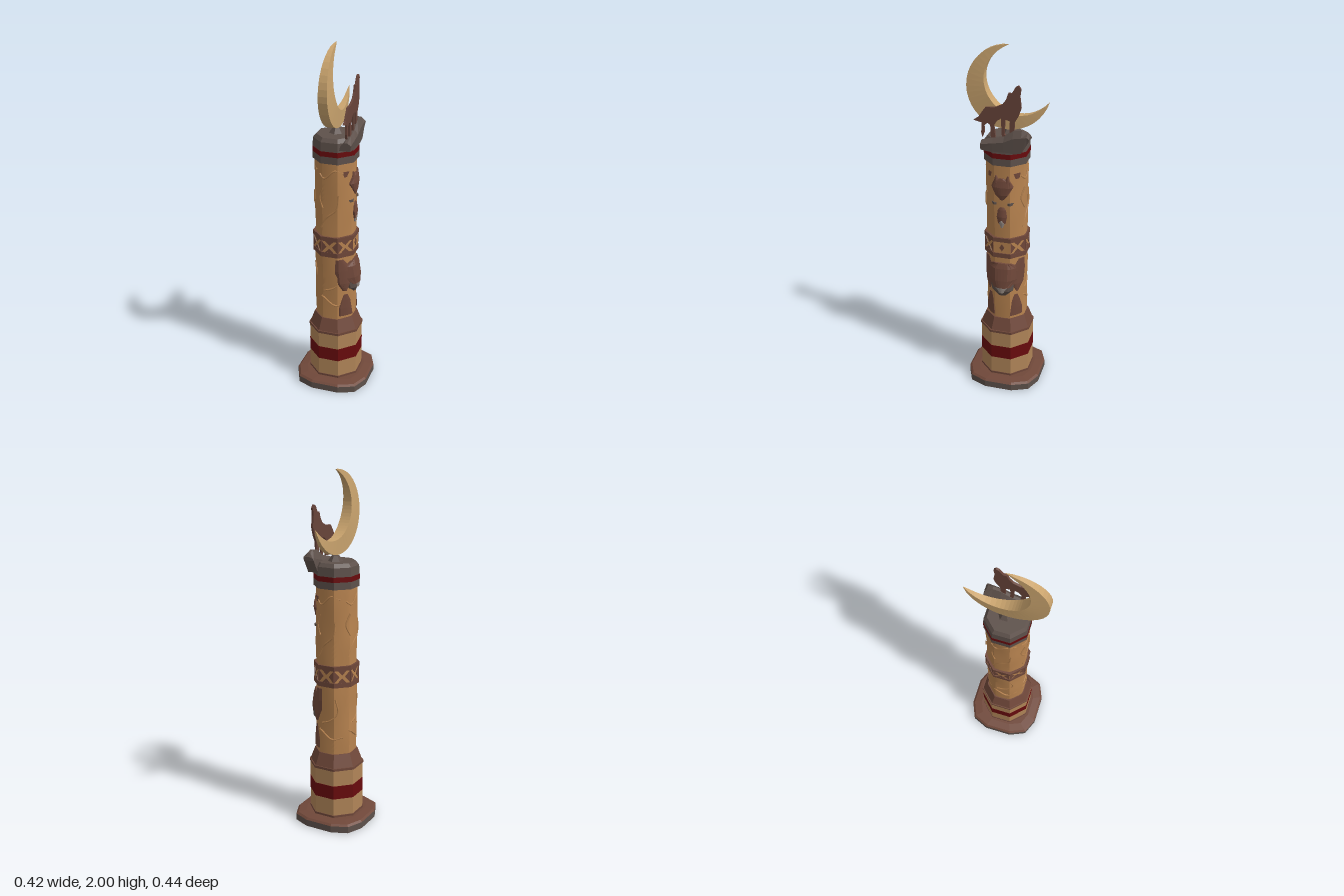
import * as THREE from 'three';
import { toCreasedNormals } from 'three/addons/utils/BufferGeometryUtils.js';

const mat = (name, color, side = THREE.FrontSide) => {
  const m = new THREE.MeshStandardMaterial({ color, side });
  m.name = name;
  return m;
};

// flat facets through unshared normals
const flat = (g) => {
  const f = g.index ? g.toNonIndexed() : g;
  f.computeVertexNormals();
  return f;
};

// closed solid through cross-section loops of [x, y, z]
function loft(loops) {
  const n = loops[0].length, idx = [];
  for (let j = 0; j < loops.length - 1; j++)
    for (let k = 0; k < n; k++) {
      const a = j * n + k, b = j * n + (k + 1) % n;
      idx.push(a, b, a + n, b, b + n, a + n);
    }
  const last = (loops.length - 1) * n;
  for (let k = 1; k < n - 1; k++) idx.push(0, k + 1, k, last, last + k, last + k + 1);
  const g = new THREE.BufferGeometry();
  g.setAttribute('position', new THREE.Float32BufferAttribute(loops.flat(2), 3));
  g.setIndex(idx);
  return flat(g);
}

const shapeOf = (pts) => new THREE.Shape(pts.map(([x, y]) => new THREE.Vector2(x, y)));

const APOTHEM = 0.108;
// distance of the shaft face from the axis at sideways offset z
const surface = (z) => Math.min(APOTHEM, APOTHEM * Math.SQRT2 - Math.abs(z));

export function createModel() {
  const wood = mat('carved wood', 0xb98450);
  const paleWood = mat('base wood', 0xb18558);
  const brown = mat('brown paint', 0x70483a);
  const grey = mat('grey stone', 0x5e514b);
  const red = mat('dark red paint', 0x690b0d);
  const moonMat = mat('moon cream', 0xcaa46e);
  const wolfMat = mat('wolf brown', 0x68443a);
  const pale = mat('pale grey', 0x9b9088);

  const model = new THREE.Group();
  const column = new THREE.Group();
  column.name = 'column';
  column.position.z = 0.01;
  model.add(column);
  const add = (name, g, m, parent = column) => {
    const mesh = new THREE.Mesh(g, m);
    mesh.name = name;
    parent.add(mesh);
    return mesh;
  };

  // octagonal drum between two heights with apothems a0 (bottom) and a1 (top)
  const c8 = Math.cos(Math.PI / 8);
  const drum = (name, y0, y1, a0, a1, m) => {
    const g = new THREE.CylinderGeometry(a1 / c8, a0 / c8, y1 - y0, 8).rotateY(Math.PI / 8);
    return add(name, flat(g.translate(0, (y0 + y1) / 2, 0)), m);
  };

  // foot slab: twelve-sided plan with a bevelled top
  const quarter = [[0.21, 0.08], [0.17, 0.172], [0.08, 0.21]];
  const plan = [
    ...quarter, ...quarter.map(([x, z]) => [-x, z]).reverse(),
    ...quarter.map(([x, z]) => [-x, -z]), ...quarter.map(([x, z]) => [x, -z]).reverse(),
  ].reverse();
  const ring = (s, y) => plan.map(([x, z]) => [x * s, y, z * s]);
  add('footSlab', loft([ring(1, 0.002), ring(1, 0.04)]), grey);
  add('footTop', loft([ring(1, 0.04), ring(0.95, 0.05), ring(0.75, 0.056)]), brown);
  const mark = shapeOf([[-0.07, -0.06], [0.07, -0.06], [0.07, 0.06], [0.02, 0.02], [-0.07, 0.06]]);
  add('undersideMark', flat(new THREE.ShapeGeometry(mark).rotateX(Math.PI / 2).translate(0, 0, 0)), red);

  // painted pedestal
  drum('pedestalSkirt', 0.05, 0.068, 0.143, 0.143, brown);
  drum('pedestalLower', 0.068, 0.17, 0.14, 0.14, paleWood);
  drum('pedestalRedBand', 0.17, 0.25, 0.141, 0.141, red);
  drum('pedestalUpper', 0.25, 0.343, 0.14, 0.14, paleWood);
  drum('pedestalLip', 0.343, 0.357, 0.144, 0.144, brown);
  drum('pedestalShoulder', 0.357, 0.43, 0.138, 0.113, brown);

  // hewn shaft: rounded octagon with shallow waves
  const shaft = new THREE.CylinderGeometry(1, 1, 0.97, 32, 36, true).translate(0, 0.91, 0);
  const p = shaft.attributes.position;
  for (let i = 0; i < p.count; i++) {
    const x = p.getX(i), y = p.getY(i), z = p.getZ(i), a = Math.atan2(z, x);
    const d = a - Math.round(a / (Math.PI / 4)) * Math.PI / 4;
    const r = Math.min(APOTHEM / Math.cos(d), 0.114)
      + 0.0025 * Math.sin(y * 17 + 2 * Math.sin(a)) * Math.sin(3 * a + y * 6);
    p.setXYZ(i, x * r, y, z * r);
  }
  add('shaft', toCreasedNormals(shaft, 0.5), wood);

  // decorated middle collar
  drum('collarCore', 0.85, 0.93, 0.113, 0.113, wood);
  drum('collarLower', 0.828, 0.855, 0.118, 0.118, brown);
  drum('collarUpper', 0.925, 0.95, 0.118, 0.118, brown);
  for (let i = 0; i < 8; i++) {
    const plates = i === 2
      ? [[[0, -0.022], [0.014, 0], [0, 0.022], [-0.014, 0]]]
      : [1, -1].flatMap((s) => [
        [[s * 0.046, -0.035], [s * 0.046, 0.035], [s * 0.016, 0]],
        [[-0.025, s * 0.035], [0.025, s * 0.035], [0, s * 0.01]],
      ]);
    for (const pts of plates) {
      const g = new THREE.ExtrudeGeometry(shapeOf(pts), { depth: 0.004, bevelEnabled: false });
      add('collarOrnament', flat(g.translate(0, 0.89, 0.1125).rotateY(i * Math.PI / 4)), brown);
    }
  }

  // raised carving wrapped on the +x face; rows of [y, zMin, zMax, height]
  const relief = (name, rows, m) => {
    const N = 12, pos = [], idx = [];
    const all = [[...rows[0].slice(0, 3), -0.012], ...rows, [...rows[rows.length - 1].slice(0, 3), -0.012]];
    for (const [y, z0, z1, h] of all)
      for (let k = 0; k <= N; k++) {
        const t = Math.min(Math.max((k - 1) / (N - 2), 0), 1), z = z0 + (z1 - z0) * t;
        const out = k === 0 || k === N ? -0.012 : h * (0.55 + 0.45 * Math.sin(Math.PI * t));
        pos.push(surface(z) + out, y, z);
      }
    for (let j = 0; j < all.length - 1; j++)
      for (let k = 0; k < N; k++) {
        const a = j * (N + 1) + k, b = a + N + 1;
        idx.push(a, b, a + 1, b, b + 1, a + 1);
      }
    const g = new THREE.BufferGeometry();
    g.setAttribute('position', new THREE.Float32BufferAttribute(pos, 3));
    g.setIndex(idx);
    return add(name, flat(g), m);
  };

  // lower figure: hooded wings, breast and two legs
  relief('breast', [[0.585, -0.02, 0.02, 0.012], [0.62, -0.06, 0.06, 0.026], [0.68, -0.07, 0.07, 0.028]], grey);
  relief('throat', [[0.61, -0.02, 0.02, 0.03], [0.64, -0.04, 0.04, 0.034], [0.665, -0.04, 0.04, 0.034]], pale);
  relief('hood', [[0.645, -0.05, 0.05, 0.036], [0.69, -0.085, 0.085, 0.032],
    [0.76, -0.09, 0.09, 0.02], [0.79, -0.05, 0.05, 0.01]], brown);
  for (const s of [1, -1]) {
    const side = (name, rows, m) =>
      relief(name, rows.map(([y, a, b, h]) => (s > 0 ? [y, a, b, h] : [y, -b, -a, h])), m);
    side('wing', [[0.61, 0.075, 0.085, 0.016], [0.66, 0.055, 0.105, 0.02],
      [0.74, 0.05, 0.11, 0.016], [0.81, 0.085, 0.108, 0.008]], brown);
    side('leg', [[0.45, 0.045, 0.1, 0.012], [0.5, 0.05, 0.1, 0.012],
      [0.55, 0.055, 0.09, 0.01], [0.585, 0.065, 0.08, 0.006]], brown);
    // upper face: ears, brow points and eyes
    side('ear', [[1.28, 0.012, 0.045, 0.012], [1.32, 0.03, 0.036, 0.006]], brown);
    side('eye', [[1.148, 0.032, 0.056, 0.006], [1.162, 0.03, 0.062, 0.006]], grey);
    side('cheekMark', [[1.30, 0.07, 0.085, 0.004], [1.33, 0.06, 0.09, 0.004]], brown);
  }
  relief('brow', [[1.18, -0.008, 0.008, 0.008], [1.21, -0.035, 0.035, 0.016],
    [1.255, -0.06, 0.06, 0.018], [1.29, -0.045, 0.045, 0.012], [1.305, -0.01, 0.01, 0.008]], brown);
  relief('muzzle', [[1.04, -0.02, 0.02, 0.014], [1.08, -0.028, 0.028, 0.016],
    [1.12, -0.022, 0.022, 0.01], [1.135, -0.01, 0.01, 0.005]], brown);
  relief('chin', [[1.012, -0.005, 0.005, 0.008], [1.045, -0.018, 0.018, 0.016],
    [1.06, -0.006, 0.006, 0.018]], pale);

  // low carved ridges on the other faces; strokes of [sideways, y]
  const strokes = [
    [[-0.07, 1.32], [-0.03, 1.34], [0.03, 1.29], [0.06, 1.31]],
    [[-0.05, 1.2], [-0.04, 1.12], [0.02, 1.06], [0.05, 1.0]],
    [[0.04, 1.24], [0.06, 1.18], [0.04, 1.12]],
    [[-0.08, 0.53], [-0.03, 0.52], [0.03, 0.56], [0.05, 0.57]],
    [[-0.05, 0.76], [-0.06, 0.68], [-0.02, 0.63], [0.03, 0.61]],
  ];
  for (const turn of [Math.PI / 2, Math.PI, -Math.PI / 2])
    for (const s of strokes) {
      const curve = new THREE.CatmullRomCurve3(s.map(([z, y]) => new THREE.Vector3(surface(z), y, z)));
      const g = new THREE.TubeGeometry(curve, 14, 0.005, 5);
      add('carvedRidge', g.rotateY(turn), wood);
    }

  // cap with red stripe and worn stone top
  drum('capLower', 1.378, 1.418, 0.116, 0.116, grey);
  drum('capRedBand', 1.418, 1.446, 0.117, 0.117, red);
  drum('capUpper', 1.446, 1.495, 0.116, 0.113, grey);
  drum('capTop', 1.495, 1.515, 0.113, 0.098, grey);

  // ledge under the wolf, sections [z, bottom, top] running front to back
  const ledge = [[0.125, 1.46, 1.505], [0.06, 1.45, 1.525], [0, 1.45, 1.54],
    [-0.05, 1.45, 1.575], [-0.095, 1.46, 1.582], [-0.125, 1.51, 1.57], [-0.137, 1.53, 1.55]];
  add('wolfLedge', loft(ledge.map(([z, b, t]) =>
    [[0.055, b, z], [0.062, b + (t - b) * 0.6, z], [0.084, t, z], [0.1, t, z],
      [0.12, b + (t - b) * 0.7, z], [0.115, b, z]])), grey, model);
  add('moonMound', flat(new THREE.CylinderGeometry(0.02, 0.045, 0.035, 6).translate(0, 1.527, 0)), grey, model);

  // crescent moon: tapered quads swept along an arc
  const sections = [];
  for (let i = 0; i <= 28; i++) {
    const t = i / 28, a = Math.PI / 2 - t * 4.42, s = Math.sin(Math.PI * t);
    const ri = 0.225 - 0.11 * Math.pow(s, 0.9) - 0.0005;
    const wo = 0.001 + 0.025 * Math.pow(s, 0.7), wi = 0.001 + 0.03 * Math.pow(s, 0.7);
    const at = (x, r) => [x, 1.775 + r * Math.sin(a), r * Math.cos(a)];
    sections.push([at(wo, 0.225), at(wi, ri), at(-wi, ri), at(-wo, 0.225)]);
  }
  add('crescentMoon', loft(sections), moonMat, model).material.side = THREE.DoubleSide;

  // howling wolf silhouette, points [z, y]
  const wolf = [[-0.075, 1.818], [-0.088, 1.8], [-0.083, 1.76], [-0.09, 1.7], [-0.075, 1.655],
    [-0.055, 1.62], [-0.052, 1.56], [-0.028, 1.55], [-0.03, 1.625], [-0.005, 1.632],
    [0.0, 1.55], [-0.012, 1.54], [0.012, 1.53], [0.018, 1.635], [0.04, 1.62],
    [0.055, 1.595], [0.048, 1.53], [0.072, 1.525], [0.075, 1.595], [0.09, 1.605],
    [0.108, 1.59], [0.108, 1.55], [0.118, 1.525], [0.124, 1.55], [0.122, 1.605],
    [0.165, 1.615], [0.14, 1.632], [0.122, 1.66], [0.1, 1.69], [0.05, 1.693],
    [0.01, 1.712], [-0.01, 1.74], [-0.022, 1.775], [-0.04, 1.775], [-0.06, 1.81]];
  const wolfShape = shapeOf(wolf.map(([z, y]) => [-z, y]));
  const wolfGeo = new THREE.ExtrudeGeometry(wolfShape, { depth: 0.012, bevelEnabled: false });
  add('howlingWolf', flat(wolfGeo.rotateY(Math.PI / 2).translate(0.086, 0, 0)), wolfMat, model);

  return model;
}
